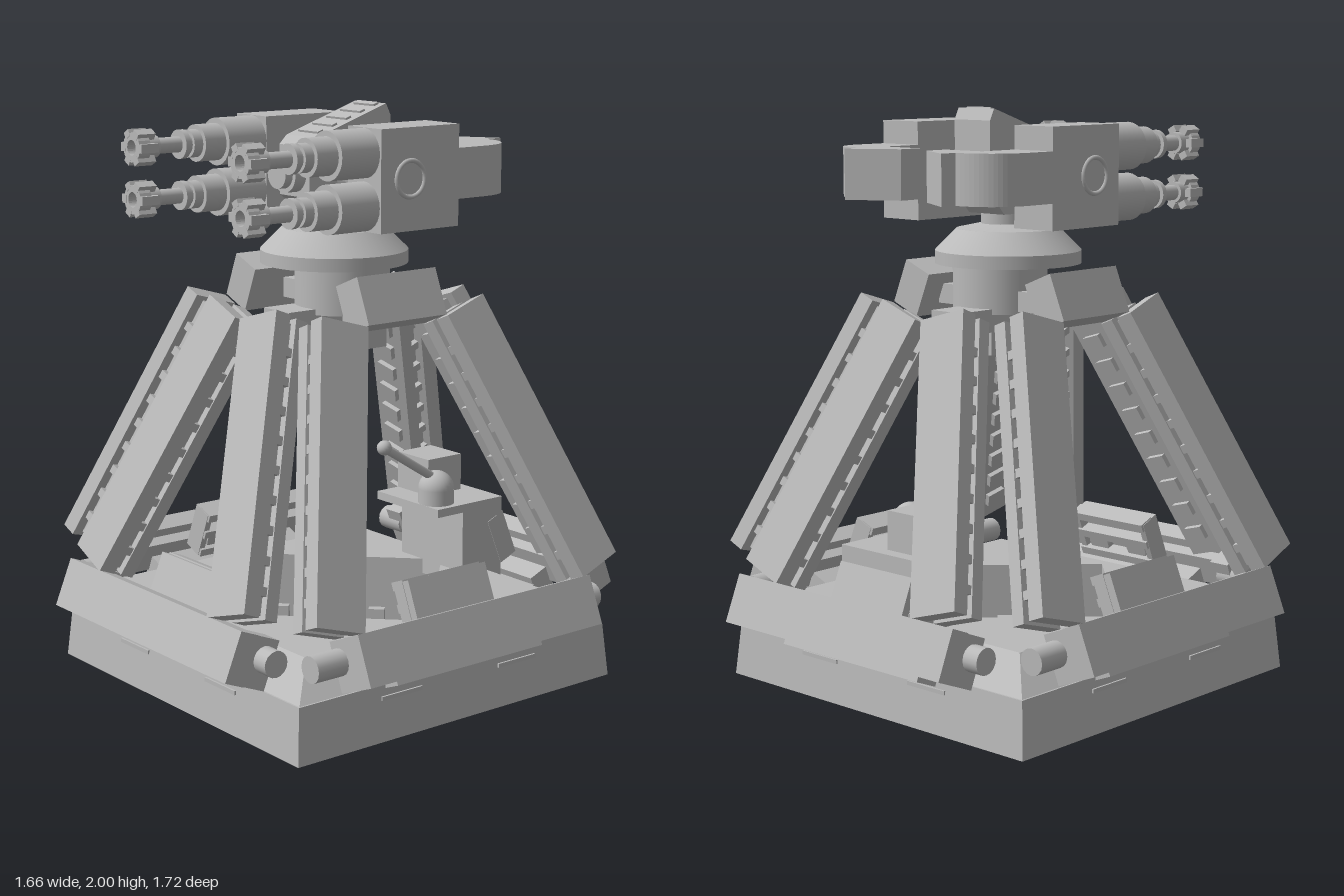
import * as THREE from 'three';

const grey = new THREE.MeshStandardMaterial({ color: 0xbababa });
grey.name = 'plainGrey';

function add(parent, name, geo, x = 0, y = 0, z = 0) {
  const m = new THREE.Mesh(geo, grey);
  m.name = name;
  m.position.set(x, y, z);
  parent.add(m);
  return m;
}
// box given by its limits on each axis
function box(parent, name, x0, x1, y0, y1, z0, z1) {
  return add(parent, name, new THREE.BoxGeometry(x1 - x0, y1 - y0, z1 - z0),
    (x0 + x1) / 2, (y0 + y1) / 2, (z0 + z1) / 2);
}
function cyl(parent, name, r0, r1, h, axis, x, y, z, seg = 24) {
  const g = new THREE.CylinderGeometry(r1, r0, h, seg);
  if (axis === 'x') g.rotateZ(-Math.PI / 2);
  if (axis === 'z') g.rotateX(Math.PI / 2);
  return add(parent, name, g, x, y, z);
}
const poly = (pts) => new THREE.Shape(pts.map(([x, y]) => new THREE.Vector2(x, y)));
const square = (r) => poly([[-r, -r], [r, -r], [r, r], [-r, r]]);
const diamond = (r) => poly([[-r, 0], [0, -r], [r, 0], [0, r]]);
// plan shape raised upward, with an optional hole
function slab(shape, hole, depth) {
  if (hole) shape.holes.push(hole);
  return new THREE.ExtrudeGeometry(shape, { depth, bevelEnabled: false, curveSegments: 16 }).rotateX(-Math.PI / 2);
}
// draws in the outer top corners of a slab
function taper(geo, top, k, min) {
  const p = geo.attributes.position;
  for (let i = 0; i < p.count; i++) {
    if (p.getY(i) > top - 0.001 && Math.max(Math.abs(p.getX(i)), Math.abs(p.getZ(i))) > min) {
      p.setX(i, p.getX(i) * k);
      p.setZ(i, p.getZ(i) * k);
    }
  }
  geo.computeVertexNormals();
  return geo;
}

function makeBase() {
  const g = new THREE.Group();
  g.name = 'base';
  g.position.z = 0.02;
  add(g, 'baseRim', taper(slab(square(0.69), square(0.635), 0.19), 0.19, 0.975, 0.66));
  add(g, 'basePlate', slab(square(0.64), diamond(0.52), 0.14), 0, 0.045, 0);
  add(g, 'slopedDeck', taper(slab(square(0.672), diamond(0.51), 0.11), 0.11, 0.82, 0.6), 0, 0.185, 0);
  for (let i = 0; i < 4; i++) {
    const side = new THREE.Group();
    side.name = 'baseSide';
    side.rotation.y = i * Math.PI / 2;
    g.add(side);
    box(side, 'sideTrim', -0.34, 0.34, 0.2, 0.25, 0.6, 0.66);
    for (const s of [-1, 1]) box(side, 'slotTrim', s * 0.255 - 0.085, s * 0.255 + 0.085, 0.138, 0.152, 0.67, 0.683);
    // corner bolts underneath and lugs around the opening
    const corner = new THREE.Group();
    corner.name = 'baseCorner';
    corner.rotation.y = i * Math.PI / 2 + Math.PI / 4;
    g.add(corner);
    for (const [u, d] of [[0, 0.72], [0, 0.49], [-0.24, 0.48], [0.24, 0.48]]) {
      cyl(corner, 'hexNut', 0.05, 0.05, 0.04, 'y', u, 0.03, d, 6);
      cyl(corner, 'boltEnd', 0.028, 0.028, 0.025, 'y', u, 0.014, d, 12);
    }
    for (let k = -2; k <= 2; k++) box(corner, 'openingLug', k * 0.12 - 0.03, k * 0.12 + 0.03, 0.03, 0.1, 0.335, 0.38);
  }
  return g;
}

// leaning A-frame: x across, y up the slope, z outward from the outer face
function makeFrame(offset, topBar) {
  const f = new THREE.Group();
  f.name = 'leaningFrame';
  box(f, 'lowerBeam', -0.51, 0.51, 0, 0.172, -0.075, 0);
  box(f, 'beamRail', -0.46, 0.46, 0.03, 0.14, -0.12, -0.07);
  box(f, 'beamMount', -0.32, 0.32, -0.02, 0.09, -0.2, -0.11);
  if (topBar) box(f, 'topBar', -0.17, 0.17, 1.135, 1.3, -0.12, 0);
  for (const s of [-1, 1]) {
    const leg = new THREE.Group();
    leg.name = 'leg';
    leg.position.set(s * (0.255 + offset), 0.678, 0);
    leg.rotation.z = s * 0.309;
    f.add(leg);
    box(leg, 'legOuterPlate', -0.093, 0.093, -0.505, 0.505, -0.062, 0);
    box(leg, 'legWeb', -0.055, 0.055, -0.49, 0.49, -0.11, -0.06);
    box(leg, 'legInnerPlate', -0.08, 0.08, -0.505, 0.505, -0.15, -0.1);
    for (let k = 0; k < 9; k++) {
      box(leg, 'legTooth', -0.04, 0.04, -0.44 + k * 0.1, -0.39 + k * 0.1, -0.168, -0.149);
      box(leg, 'legRib', -0.075, 0.075, -0.43 + k * 0.1, -0.4 + k * 0.1, -0.11, -0.06);
    }
    // hinge at the foot of each leg
    cyl(f, 'footPin', 0.045, 0.045, 0.12, 'x', s * (0.5 + offset * 0.4), 0.1, -0.135, 16);
    box(f, 'footBracket', s * 0.46 - 0.04, s * 0.46 + 0.04, 0, 0.17, -0.17, -0.07);
  }
  // slatted panel on the inner side of the beam
  const p = new THREE.Group();
  p.name = 'innerPanel';
  f.add(p);
  box(p, 'panelBack', -0.17, 0.17, 0.12, 0.3, -0.16, -0.12);
  for (const y of [0.12, 0.2, 0.275]) box(p, 'panelRail', -0.17, 0.17, y, y + 0.03, -0.21, -0.15);
  for (const s of [-1, 1]) {
    box(p, 'panelEnd', s * 0.16 - 0.012, s * 0.16 + 0.012, 0.12, 0.3, -0.2, -0.15);
    cyl(p, 'panelKnob', 0.045, 0.045, 0.04, 'z', s * 0.09, 0.17, -0.17, 16);
  }
  return f;
}

function makeConsole() {
  const g = new THREE.Group();
  g.name = 'console';
  box(g, 'consoleBody', -0.17, 0.17, 0.24, 0.53, -0.63, -0.44);
  box(g, 'consoleTop', -0.17, 0.17, 0.52, 0.55, -0.63, -0.32);
  box(g, 'consoleBlock', -0.17, 0, 0.55, 0.685, -0.58, -0.42);
  cyl(g, 'leverSocket', 0.065, 0.065, 0.06, 'y', 0.085, 0.575, -0.385);
  add(g, 'leverDome', new THREE.SphereGeometry(0.065, 24, 12, 0, Math.PI * 2, 0, Math.PI / 2), 0.085, 0.604, -0.385);
  const a = new THREE.Vector3(0.085, 0.64, -0.38), b = new THREE.Vector3(0.085, 0.79, -0.14);
  add(g, 'leverStick', new THREE.TubeGeometry(new THREE.LineCurve3(a, b), 1, 0.016, 12));
  add(g, 'leverBall', new THREE.SphereGeometry(0.027, 16, 12), b.x, b.y, b.z);
  return g;
}

function makeBarrel(x, y) {
  const g = new THREE.Group();
  g.name = 'barrel';
  g.position.set(x, y, 0);
  // start z, end z, radius
  for (const [z0, z1, r] of [[0.14, 0.305, 0.082], [0.305, 0.39, 0.064], [0.39, 0.425, 0.048], [0.425, 0.44, 0.036],
    [0.44, 0.46, 0.05], [0.46, 0.56, 0.027], [0.555, 0.61, 0.038]]) {
    cyl(g, 'barrelSection', r, r, z1 - z0, 'z', 0, 0, (z0 + z1) / 2);
  }
  const ring = new THREE.Shape();
  ring.absarc(0, 0, 0.05, 0, Math.PI * 2);
  const bore = new THREE.Path();
  bore.absarc(0, 0, 0.026, 0, Math.PI * 2);
  ring.holes.push(bore);
  add(g, 'muzzleRing', new THREE.ExtrudeGeometry(ring, { depth: 0.045, bevelEnabled: false }), 0, 0, 0.603);
  for (let i = 0; i < 6; i++) {
    const a = i * Math.PI / 3;
    const m = add(g, 'muzzleLug', new THREE.BoxGeometry(0.024, 0.03, 0.07), Math.cos(a) * 0.05, Math.sin(a) * 0.05, 0.614);
    m.rotation.z = a;
  }
  return g;
}

function makeTurret() {
  const g = new THREE.Group();
  g.name = 'turret';
  g.position.x = 0.015;
  // dish and support below it
  cyl(g, 'dishRim', 0.255, 0.255, 0.045, 'y', 0, 1.487, 0.03, 48);
  cyl(g, 'dishSlope', 0.255, 0.18, 0.075, 'y', 0, 1.547, 0.03, 48);
  cyl(g, 'dishCap', 0.18, 0.09, 0.02, 'y', 0, 1.594, 0.03, 48);
  cyl(g, 'neck', 0.088, 0.088, 0.1, 'y', 0, 1.64, 0.02);
  cyl(g, 'column', 0.165, 0.165, 0.17, 'y', 0.02, 1.385, 0.01, 32);
  box(g, 'columnFoot', -0.07, 0.09, 1.16, 1.31, -0.13, 0.05);
  box(g, 'sideBrace', -0.25, 0.25, 1.31, 1.38, -0.06, 0.06);
  box(g, 'foreAftBrace', -0.07, 0.07, 1.24, 1.32, -0.28, 0.28);
  // head with slatted sloping top: profile across z and y, extruded along x
  const head = poly([[0.2, 1.7], [0.2, 1.87], [0.17, 1.9], [-0.13, 2.0], [-0.15, 1.96], [-0.15, 1.72], [-0.08, 1.64], [0.12, 1.64]]);
  const hg = new THREE.ExtrudeGeometry(head, { depth: 0.165, bevelEnabled: false }).rotateY(-Math.PI / 2);
  add(g, 'head', hg, 0.0825, 0, 0);
  for (let i = 0; i < 5; i++) {
    const z = 0.13 - i * 0.06;
    const m = add(g, 'headSlat', new THREE.BoxGeometry(0.11, 0.014, 0.022), 0, 1.957 - z / 3, z);
    m.rotation.x = 0.32;
  }
  cyl(g, 'nose', 0.065, 0.065, 0.05, 'z', 0, 1.78, 0.22);
  cyl(g, 'noseTip', 0.05, 0.05, 0.04, 'z', 0, 1.78, 0.255);

  for (const s of [-1, 1]) {
    const gun = new THREE.Group();
    gun.name = s > 0 ? 'leftGun' : 'rightGun';
    g.add(gun);
    cyl(gun, 'axle', 0.07, 0.07, 0.16, 'x', s * 0.15, 1.78, 0.02);
    cyl(gun, 'axleCollar', 0.085, 0.085, 0.05, 'x', s * 0.175, 1.78, 0.02);
    add(gun, 'gunHousing', new THREE.BoxGeometry(0.17, 0.34, 0.335), s * 0.31, 1.78, -0.018);
    const hub = add(gun, 'hubRing', new THREE.TorusGeometry(0.06, 0.008, 8, 32), s * 0.395, 1.782, 0.025);
    hub.rotation.y = Math.PI / 2;
    // curved counterweight arm
    const arm = new THREE.Shape();
    arm.moveTo(s * 0.225, 0.17);
    arm.lineTo(s * 0.395, 0.17);
    arm.lineTo(s * 0.395, 0.3);
    arm.bezierCurveTo(s * 0.395, 0.4, s * 0.33, 0.465, s * 0.225, 0.465);
    arm.lineTo(s * 0.225, 0.53);
    arm.lineTo(s * 0.06, 0.43);
    arm.lineTo(s * 0.06, 0.34);
    arm.lineTo(s * 0.225, 0.34);
    add(gun, 'rearArm', slab(arm, null, 0.17), 0, 1.7, 0);
    for (const y of [1.693, 1.867]) gun.add(makeBarrel(s * 0.307, y));
  }
  return g;
}

export function createModel() {
  const model = new THREE.Group();
  model.name = 'turretTower';
  model.add(makeBase());
  for (let i = 0; i < 4; i++) {
    const side = i % 2 === 1;
    const turn = new THREE.Group();
    turn.name = ['frontFrame', 'leftFrame', 'backFrame', 'rightFrame'][i];
    turn.rotation.y = i * Math.PI / 2;
    if (side) turn.position.z = 0.02;
    const f = makeFrame(side ? 0.16 : 0, side);
    f.position.set(0, 0.262, side ? 0.83 : 0.86);
    f.rotation.x = -0.389;
    turn.add(f);
    model.add(turn);
  }
  model.add(makeConsole());
  model.add(makeTurret());
  return model;
}
